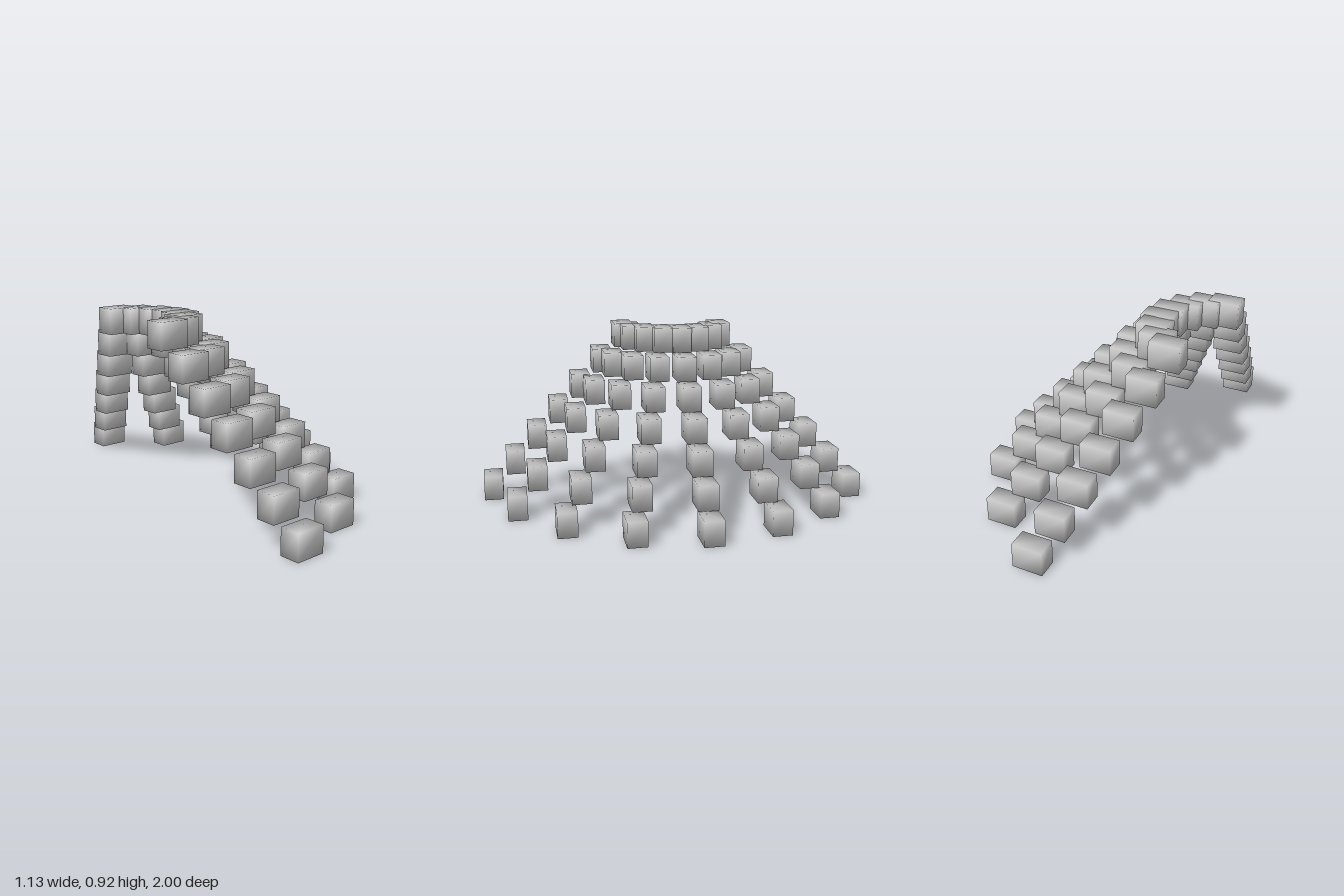
import * as THREE from 'three';
import { mergeVertices } from 'three/addons/utils/BufferGeometryUtils.js';

// Box with shared corners, so the shading rolls smoothly over its edges
function softBlock(w, h, d) {
  const box = new THREE.BoxGeometry(w, h, d);
  box.deleteAttribute('normal');
  box.deleteAttribute('uv');
  const geometry = mergeVertices(box);
  geometry.computeVertexNormals();
  return geometry;
}

export function createModel() {
  const model = new THREE.Group();
  model.name = 'fanOfSteps';
  const material = new THREE.MeshStandardMaterial({ color: 0xcccccc });

  const height = 0.128;
  const block = softBlock(0.152, height, 0.1);
  const centreX = -0.537, centreZ = -0.06;
  const arms = 8, rows = 7;
  const armAngle = THREE.MathUtils.degToRad(20.2);

  // Eight straight flights spread around a common centre, all blocks axis-aligned
  for (let a = 0; a < arms; a++) {
    const flight = new THREE.Group();
    flight.name = `flight${a + 1}`;
    const angle = (a - 3) * armAngle;

    // Each flight climbs inwards, one block per row
    for (let r = 0; r < rows; r++) {
      const radius = 1.023 - r * 0.1237;
      const step = new THREE.Mesh(block, material);
      step.name = `step${r + 1}`;
      step.position.set(
        centreX + radius * Math.cos(angle),
        height / 2 + r * 0.1314,
        centreZ + radius * Math.sin(angle)
      );
      flight.add(step);
    }
    model.add(flight);
  }
  return model;
}
